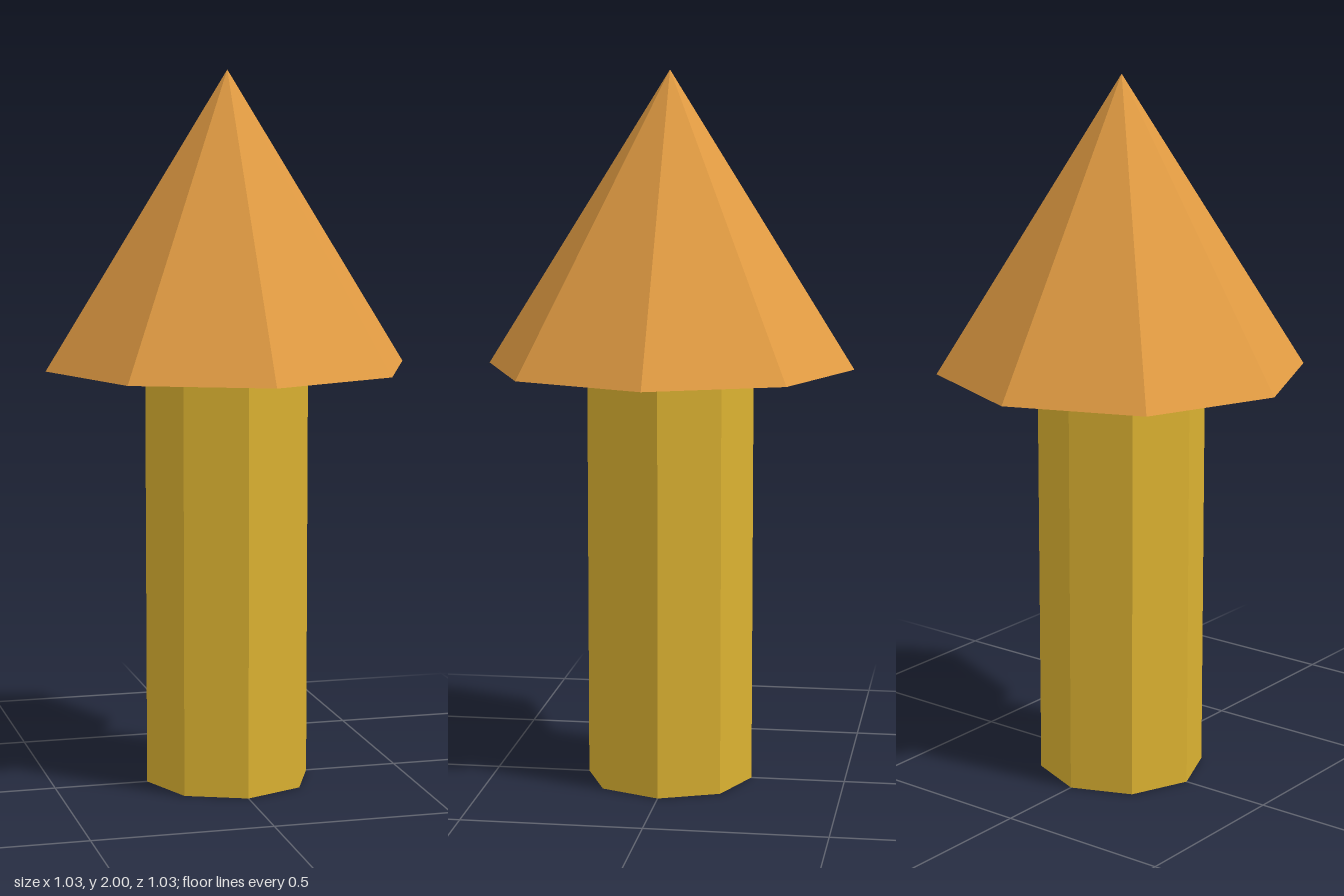
import * as THREE from 'three';

const SIDES = 8;

export function createModel() {
  const model = new THREE.Group();
  model.name = 'mushroomTree';

  const orange = new THREE.MeshStandardMaterial({ color: 0xe29c43, flatShading: true, side: THREE.DoubleSide });
  orange.name = 'capOrange';
  const gold = new THREE.MeshStandardMaterial({ color: 0xdbb131, flatShading: true });
  gold.name = 'stemGold';

  // Closed octagonal stem, its top tucked inside the hollow cap
  const stemHeight = 1.3;
  const stem = new THREE.Mesh(new THREE.CylinderGeometry(0.235, 0.235, stemHeight, SIDES), gold);
  stem.name = 'stem';
  stem.position.y = stemHeight / 2;

  // Hollow cone cap, open underneath
  const rimY = 1.18;
  const capHeight = 2 - rimY;
  const cap = new THREE.Mesh(new THREE.ConeGeometry(0.515, capHeight, SIDES, 1, true), orange);
  cap.name = 'cap';
  cap.position.y = rimY + capHeight / 2;

  model.add(stem, cap);
  return model;
}
